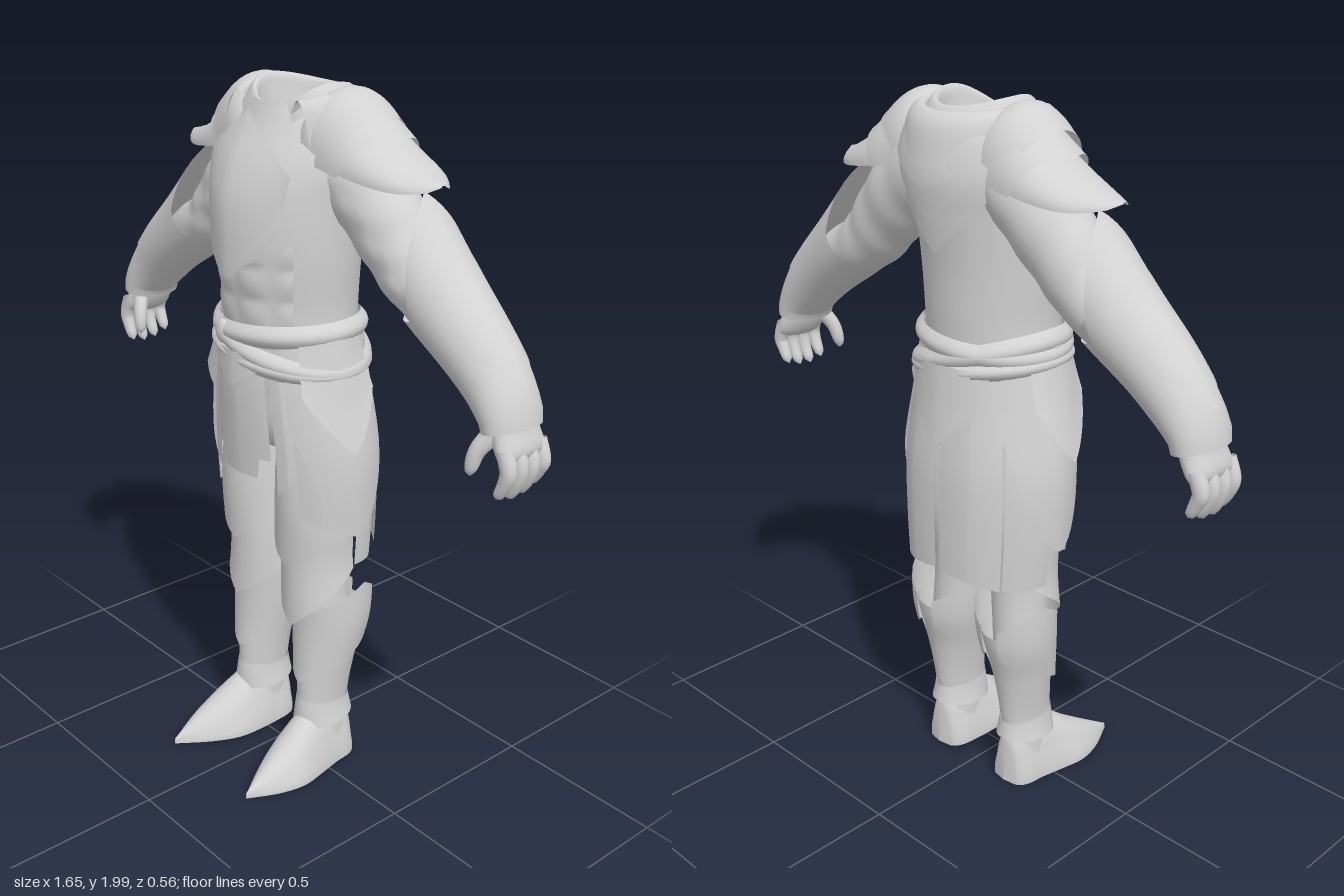
import * as THREE from 'three';

const steel = new THREE.MeshStandardMaterial({ color: 0xd2d2d2, side: THREE.DoubleSide });
steel.name = 'pale grey';
const { abs, sin, cos, min, max, PI } = Math;

// smooth interpolation of a table whose rows start with an increasing key
function sample(rows, k) {
  const n = rows.length;
  let i = 0;
  while (i < n - 2 && k > rows[i + 1][0]) i++;
  const p = rows[max(i - 1, 0)], q = rows[i], r = rows[i + 1], s = rows[min(i + 2, n - 1)];
  const h = r[0] - q[0], t = min(1, max(0, (k - q[0]) / h)), t2 = t * t, t3 = t2 * t;
  return q.map((_, j) => {
    const m0 = (r[j] - p[j]) / (r[0] - p[0]) * h, m1 = (s[j] - q[j]) / (s[0] - q[0]) * h;
    return (2 * t3 - 3 * t2 + 1) * q[j] + (t3 - 2 * t2 + t) * m0 + (3 * t2 - 2 * t3) * r[j] + (t3 - t2) * m1;
  });
}

// limb rows: [key, x, y, z, radius across, radius in z]; angle 0 faces +z
function limb(rows) {
  const f = (a, k, off = 0) => {
    const c = sample(rows, k), e = (rows[rows.length - 1][0] - rows[0][0]) * 0.01;
    const p = sample(rows, k - e), q = sample(rows, k + e);
    let tx = q[1] - p[1], ty = q[2] - p[2];
    const l = Math.hypot(tx, ty) || 1;
    tx /= l; ty /= l;
    const w = (c[4] + off) * sin(a);
    return [c[1] + ty * w, c[2] - tx * w, c[3] + (c[5] + off) * cos(a)];
  };
  f.range = [rows[0][0], rows[rows.length - 1][0]];
  return f;
}
// upright rows: [y, x, z, radius x, radius z]
const upright = rows => limb(rows.map(([y, x, z, a, b]) => [y, x, y, z, a, b]));

function grid(parent, name, fn, nu, nv, closed) {
  const pos = [], idx = [], w = closed ? nu : nu + 1;
  for (let j = 0; j <= nv; j++) for (let i = 0; i < w; i++) pos.push(...fn(i / nu, j / nv));
  for (let j = 0; j < nv; j++) for (let i = 0; i < nu; i++) {
    const a = j * w + i, b = j * w + (i + 1) % w, c = a + w, d = b + w;
    idx.push(a, b, d, a, d, c);
  }
  const g = new THREE.BufferGeometry();
  g.setAttribute('position', new THREE.Float32BufferAttribute(pos, 3));
  g.setIndex(idx);
  g.computeVertexNormals();
  const m = new THREE.Mesh(g, steel);
  m.name = name;
  parent.add(m);
}

// patch over a limb between two angles; edges and lift may vary with u in -1..1
const val = (f, ...x) => (typeof f === 'function' ? f(...x) : f);
function plate(parent, name, at, a0, a1, k0, k1, off = 0, nv = 14) {
  const closed = a1 - a0 === 360;
  grid(parent, name, (i, v) => {
    const u = i * 2 - 1, s = val(k0, u), e = val(k1, u);
    return at((a0 + (a1 - a0) * i) * PI / 180, s + (e - s) * v, val(off, u, v));
  }, closed ? 40 : 24, nv, closed);
}
const skin = (parent, name, at, off = 0, nv = 24) => plate(parent, name, at, 0, 360, ...at.range, off, nv);
const vee = (tip, rise) => u => tip + rise * abs(u);
const ridge = (base, peak, flare = 0) => (u, v) => base + peak * (1 - abs(u)) + flare * v;

function buildTrunk(g) {
  const torso = upright([
    [0.98, 0, -0.04, 0.01, 0.01], [1.02, 0, -0.04, 0.19, 0.13], [1.2, 0, -0.03, 0.2, 0.165],
    [1.4, 0, -0.032, 0.19, 0.177], [1.55, 0, -0.03, 0.198, 0.187], [1.7, 0, -0.04, 0.203, 0.195],
    [1.8, 0, -0.06, 0.208, 0.185], [1.9, 0, -0.08, 0.18, 0.15], [1.94, 0, -0.08, 0.145, 0.13]]);
  skin(g, 'torso', torso, 0, 50);
  plate(g, 'abdomenMuscles', torso, -50, 50, 1.36, 1.62,
    (u, v) => 0.003 + 0.007 * abs(sin(u * PI * 1.5)) * abs(sin(v * PI * 3)), 24);
  plate(g, 'ribPlate', torso, -85, 85, vee(1.84, -0.06), vee(1.52, 0.14), ridge(0.008, 0.008));
  plate(g, 'chestPlate', torso, -42, 42, vee(1.93, -0.15), u => 1.5 + 0.17 * abs(u) ** 1.3,
    (u, v) => 0.018 + 0.02 * (1 - abs(u)) + 0.014 * (1 - v) ** 2);
  // layered points down the back
  plate(g, 'lowerBackPoint', torso, 118, 242, 1.9, vee(1.6, 0.22), ridge(0.01, 0.006, 0.006));
  plate(g, 'middleBackPoint', torso, 120, 240, 1.92, vee(1.68, 0.2), ridge(0.017, 0.008, 0.006));
  plate(g, 'upperBackPoint', torso, 115, 245, 1.93, vee(1.77, 0.12), ridge(0.024, 0.008, 0.006));

  // draped cowl: inner bowl with rolled rim, and an outer fold open at the front; rows [v, radius, y]
  const bowl = [[0, 0.002, 1.79], [0.25, 0.08, 1.81], [0.5, 0.106, 1.92], [0.68, 0.115, 1.962], [0.82, 0.13, 1.966], [1, 0.16, 1.92]];
  const fold = [[0, 0.135, 1.92], [0.3, 0.15, 1.955], [0.5, 0.17, 1.955], [0.75, 0.195, 1.92], [1, 0.212, 1.83]];
  const drape = (rows, a, v) => {
    const [, r, y] = sample(rows, v);
    const back = max(0, -cos(a)), front = max(0, cos(a)) ** 2, side = sin(a) ** 2;
    return [r * sin(a), y + v * (0.028 * side - 0.05 * front - 0.005 * back),
      -0.06 + (r * (1 - 0.25 * v * front) + 0.01 * v * back) * cos(a)];
  };
  grid(g, 'collar', (u, v) => drape(bowl, u * 2 * PI, v), 40, 24, true);
  grid(g, 'cowlFold', (u, v) => drape(fold, (40 + 15 * v + (280 - 30 * v) * u) * PI / 180, v), 40, 18, false);
}

const hips = upright([
  [0.65, 0, -0.062, 0.242, 0.18], [0.8, 0, -0.057, 0.254, 0.188], [1.0, 0, -0.05, 0.257, 0.193],
  [1.2, 0, -0.035, 0.226, 0.187], [1.4, 0, -0.03, 0.19, 0.175]]);

function buildSkirt(g) {
  // sashes crossing at the front: [height, tilt towards the left hip, width]
  [[1.345, 0.015, 0.06], [1.31, -0.055, 0.06], [1.28, -0.03, 0.05]].forEach(([y, tilt, h], i) => {
    const edge = s => u => y + tilt * sin(u * PI) + s * h / 2;
    plate(g, 'sash' + i, hips, -180, 180, edge(1), edge(-1), (u, v) => 0.008 + 0.017 * sin(v * PI), 10);
  });
  const knot = new THREE.Mesh(new THREE.SphereGeometry(0.028, 16, 12), steel);
  knot.name = 'sashKnot';
  knot.position.set(-0.06, 1.335, 0.155);
  knot.scale.set(0.9, 1.2, 0.6);
  g.add(knot);
  plate(g, 'frontTab', hips, -25, 25, 1.27, u => 0.94 + (abs(u) > 0.65 ? 0.06 : 0), ridge(0.006, 0.008));
  plate(g, 'frontPoint', hips, -26, 26, 1.3, vee(1.2, 0.07), ridge(0.016, 0.01));
  plate(g, 'backPoint', hips, 142, 218, 1.3, vee(1.07, 0.16), ridge(0.014, 0.008));
  plate(g, 'backSmallPoint', hips, 155, 205, 1.3, vee(1.17, 0.09), ridge(0.022, 0.006));
}

function buildSkirtSide(g) {
  plate(g, 'backPanel', hips, 134, 178, 1.3, u => 0.69 + 0.015 * u, ridge(0.004, 0.006, 0.006));
  plate(g, 'rearSidePanel', hips, 92, 132, 1.3, 0.67, ridge(-0.006, 0.006));
  plate(g, 'innerHipPanel', hips, 28, 44, 1.3, u => 0.93 + 0.03 * u, ridge(0, 0.005));
  plate(g, 'frontHipPanel', hips, 42, 76, 1.32, u => 0.78 + 0.06 * (1 - u) / 2, ridge(0.002, 0.006));
  plate(g, 'sideLeaf', hips, 40, 134, 1.36, u => 0.78 + 0.34 * abs(u) ** 1.8, ridge(0.008, 0.008, 0.004));
  plate(g, 'hipPoint', hips, 52, 112, 1.37, u => 1.04 + 0.16 * abs(u) ** 1.2,
    (u, v) => 0.014 + 0.006 * (1 - abs(u)) + 0.02 * v * v);
}

function buildLeg(g) {
  const thigh = upright([[0.42, 0.13, -0.055, 0.076, 0.08], [0.65, 0.115, -0.045, 0.08, 0.088],
    [0.85, 0.12, -0.045, 0.098, 0.115], [1.1, 0.11, -0.04, 0.095, 0.13]]);
  skin(g, 'thigh', thigh);
  plate(g, 'thighPlate', thigh, -110, 110, 0.98, u => 0.67 + 0.14 * abs(u), ridge(0.004, 0.01, 0.026));
  plate(g, 'kneePlate', thigh, -110, 110, u => 0.78 + 0.05 * abs(u), u => 0.475 + 0.17 * abs(u),
    (u, v) => 0.002 + 0.014 * (1 - abs(u)) + 0.026 * v);
  const shin = upright([[0.08, 0.14, -0.045, 0.06, 0.075], [0.2, 0.138, -0.042, 0.056, 0.08],
    [0.35, 0.138, -0.057, 0.075, 0.086], [0.48, 0.135, -0.077, 0.1, 0.099], [0.64, 0.13, -0.08, 0.112, 0.1]]);
  plate(g, 'shin', shin, 0, 360, 0.08, 0.5);
  plate(g, 'greave', shin, -165, 165, u => 0.5 + 0.11 * (1 - abs(abs(u) - 0.58) / 0.58),
    u => 0.28 + 0.16 * abs(u), ridge(0.012, 0.006, 0.002));
  plate(g, 'lowerGreave', shin, -180, 180, 0.42, vee(0.2, 0.02), 0.004);
  plate(g, 'ankleCuff', shin, -180, 180, u => 0.22 - 0.02 * abs(u), vee(0.13, 0.02), (u, v) => 0.006 + 0.012 * v);
  // pointed shoe: [z, centre x, half width, height]
  const shoe = [[-0.133, 0.14, 0.001, 0.002], [-0.128, 0.14, 0.035, 0.11], [-0.1, 0.14, 0.058, 0.17], [-0.04, 0.14, 0.066, 0.2],
    [0.04, 0.147, 0.074, 0.165], [0.11, 0.156, 0.075, 0.115], [0.19, 0.166, 0.05, 0.065], [0.28, 0.175, 0.002, 0.012]];
  grid(g, 'shoe', (u, v) => {
    const [z, x, w, h] = sample(shoe, -0.133 + 0.413 * v ** 1.2), a = u * 2 * PI, s = sin(a);
    return [x + w * cos(a) * (1 + 0.1 * (s < 0.2)), 0.005 + h * max(0, s) - 0.005 * (s < 0.2), z];
  }, 32, 32, true);
}

function buildArm(g) {
  const arm = limb([[0, 0.15, 1.79, -0.09, 0.1, 0.12], [0.25, 0.25, 1.71, -0.1, 0.108, 0.11],
    [0.5, 0.34, 1.615, -0.1, 0.1, 0.098], [0.75, 0.42, 1.535, -0.1, 0.088, 0.09], [1, 0.54, 1.47, -0.1, 0.075, 0.08]]);
  skin(g, 'sleeve', arm, (u, v) => 0.002 * sin(v * 26 + u * 5), 40);
  const fore = limb([[-0.1, 0.33, 1.655, -0.1, 0.13, 0.125], [0.1, 0.495, 1.515, -0.098, 0.106, 0.112],
    [0.25, 0.616, 1.42, -0.095, 0.09, 0.1], [0.35, 0.689, 1.352, -0.095, 0.08, 0.092],
    [0.45, 0.742, 1.285, -0.092, 0.065, 0.09], [0.5, 0.753, 1.245, -0.092, 0.058, 0.088]]);
  plate(g, 'forearm', fore, 0, 360, 0.08, 0.46, -0.008);
  plate(g, 'vambrace', fore, -270, 90, u => (abs(u) < 0.6 ? -0.1 + 0.38 * abs(u) : 0.128 - 0.18 * (abs(u) - 0.6)),
    0.495, (u, v) => 0.002 + 0.008 * max(0, 1 - 2 * abs(u)) * (1 - v));
  plate(g, 'vambraceRidge', fore, -150, -30, vee(-0.02, 0.16), u => 0.42 - 0.12 * abs(u), ridge(0.004, 0.008));

  // hand with curled fingers
  skin(g, 'palm', limb([[0, 0.74, 1.3, -0.095, 0.045, 0.06], [0.4, 0.763, 1.235, -0.095, 0.044, 0.074],
    [0.8, 0.788, 1.19, -0.093, 0.032, 0.078], [1, 0.797, 1.172, -0.09, 0.004, 0.06]]), 0, 14);
  for (let i = 0; i < 4; i++) {
    const z = -0.03 - i * 0.041, d = [0.01, 0, 0.004, 0.018][i];
    skin(g, 'finger' + i, limb([[0, 0.785, 1.215, z, 0.022, 0.021], [0.4, 0.803, 1.165, z, 0.022, 0.02],
      [0.7, 0.795, 1.12 + d, z, 0.019, 0.018], [0.95, 0.775, 1.08 + d, z, 0.012, 0.013],
      [1, 0.77, 1.072 + d, z, 0.001, 0.001]]), 0, 14);
  }
  skin(g, 'thumb', limb([[0, 0.745, 1.25, -0.05, 0.028, 0.026], [0.5, 0.712, 1.195, -0.02, 0.022, 0.021],
    [0.9, 0.7, 1.14, -0.01, 0.015, 0.014], [1, 0.7, 1.125, -0.01, 0.001, 0.001]]), 0, 14);

  // shoulder guard in three overlapping layers
  const roll = limb([[0.1, 0.1, 1.85, -0.08, 0.115, 0.12], [0.14, 0.14, 1.84, -0.085, 0.153, 0.138],
    [0.22, 0.22, 1.8, -0.09, 0.14, 0.135]]);
  plate(g, 'shoulderRoll', roll, -175, -5, 0.1, 0.22);
  const mid = limb([[0.17, 0.17, 1.8, -0.095, 0.162, 0.135], [0.24, 0.24, 1.785, -0.1, 0.133, 0.135],
    [0.34, 0.34, 1.765, -0.1, 0.087, 0.122]]);
  plate(g, 'shoulderBand', mid, -180, 0, 0.17, u => 0.32 - 0.07 * abs(u), ridge(0, 0.004));
  const tip = limb([[0.2, 0.2, 1.8, -0.1, 0.13, 0.128], [0.3, 0.3, 1.78, -0.105, 0.085, 0.122],
    [0.4, 0.4, 1.767, -0.105, 0.05, 0.095], [0.47, 0.47, 1.772, -0.095, 0.024, 0.042], [0.495, 0.495, 1.785, -0.09, 0.004, 0.008]]);
  plate(g, 'shoulderPoint', tip, -182, 2, 0.2, 0.495);
}

export function createModel() {
  const model = new THREE.Group();
  model.name = 'armour';
  buildTrunk(model);
  buildSkirt(model);
  for (const side of [1, -1]) {
    for (const [name, build] of [['Arm', buildArm], ['Leg', buildLeg], ['SkirtSide', buildSkirtSide]]) {
      const g = new THREE.Group();
      g.name = (side > 0 ? 'left' : 'right') + name;
      g.scale.x = side;
      build(g);
      model.add(g);
    }
  }
  return model;
}
